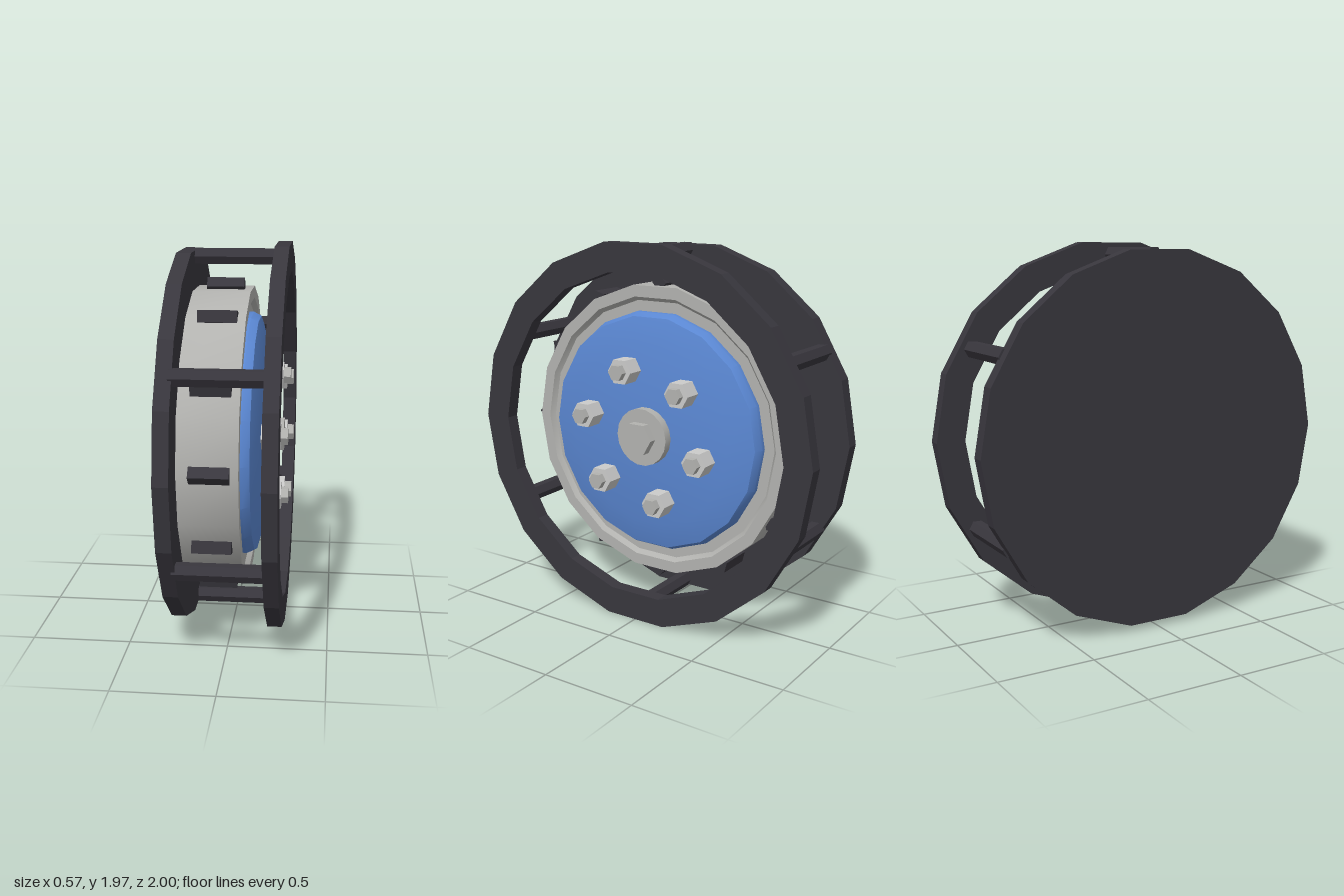
import * as THREE from 'three';
import { toCreasedNormals } from 'three/addons/utils/BufferGeometryUtils.js';

const CENTRE_Y = 0.985;

function material(name, color) {
  const m = new THREE.MeshStandardMaterial({ color });
  m.name = name;
  return m;
}

export function createModel() {
  const dark = material('dark rubber', 0x38363d);
  const steel = material('grey steel', 0xb2b2af);
  const bright = material('bright nut steel', 0xcbcbca);
  const blue = material('blue paint', 0x5a87d2);

  const model = new THREE.Group();
  model.name = 'wheel';
  const wheel = new THREE.Group();
  wheel.name = 'wheelAssembly';
  wheel.position.y = CENTRE_Y;
  model.add(wheel);

  // Part turned about the x axle; profile points are [radius, x]
  function turned(name, profile, sides, mat, crease = 0.5) {
    const lathe = new THREE.LatheGeometry(profile.map(([r, x]) => new THREE.Vector2(r, x)), sides);
    lathe.rotateZ(-Math.PI / 2);
    const mesh = new THREE.Mesh(toCreasedNormals(lathe, crease), mat);
    mesh.name = name;
    return mesh;
  }

  // Solid prism along the axle from x0 to x1
  const prism = (name, r, x0, x1, sides, mat, crease = 0.3) =>
    turned(name, [[0, x0], [r, x0], [r, x1], [0, x1]], sides, mat, crease);

  // Copies of a part spread evenly around the axle
  function around(name, count, radius, startAngle, make) {
    const set = new THREE.Group();
    set.name = name;
    for (let i = 0; i < count; i++) {
      const arm = new THREE.Group();
      arm.rotation.x = startAngle + (i * 2 * Math.PI) / count;
      const part = make();
      part.position.y = radius;
      arm.add(part);
      set.add(arm);
    }
    wheel.add(set);
  }

  // Solid back disc and open front ring
  wheel.add(prism('backDisc', 0.965, -0.285, -0.21, 18, dark));
  wheel.add(turned('frontRing',
    [[0.85, 0.2], [1, 0.2], [1, 0.272], [0.85, 0.272], [0.85, 0.2]], 18, dark, 0.3));

  // Drum with a shallow stepped front face
  wheel.add(turned('drum',
    [[0, -0.21], [0.77, -0.21], [0.77, 0.08], [0.71, 0.08], [0.69, 0.055], [0, 0.055]], 18, steel));

  // Domed cover plate
  wheel.add(turned('coverPlate',
    [[0.635, 0.05], [0.635, 0.08], [0.615, 0.118], [0.48, 0.154], [0, 0.16]], 18, blue));

  // Hub washer and its centre bolt
  wheel.add(prism('hubWasher', 0.15, 0.14, 0.205, 18, steel, 0.5));
  wheel.add(prism('hubBolt', 0.088, 0.2, 0.25, 6, steel));

  // Hexagonal cross bars joining disc and ring
  around('crossBars', 6, 0.922, 0, () => prism('crossBar', 0.044, -0.228, 0.21, 6, dark));

  // Short diamond cleats half sunk in the drum
  around('cleats', 12, 0.773, 0, () => prism('cleat', 0.042, -0.15, 0.04, 4, dark));

  // Wheel nuts with stud tips; each is turned back so its corners stay level
  const tilt = THREE.MathUtils.degToRad(17);
  around('wheelNuts', 6, 0.352, tilt, () => {
    const nut = new THREE.Group();
    nut.name = 'wheelNut';
    nut.add(prism('nut', 0.07, 0.14, 0.25, 6, bright));
    nut.add(prism('studTip', 0.043, 0.24, 0.285, 6, steel));
    nut.rotation.x = -tilt;
    return nut;
  });

  return model;
}
